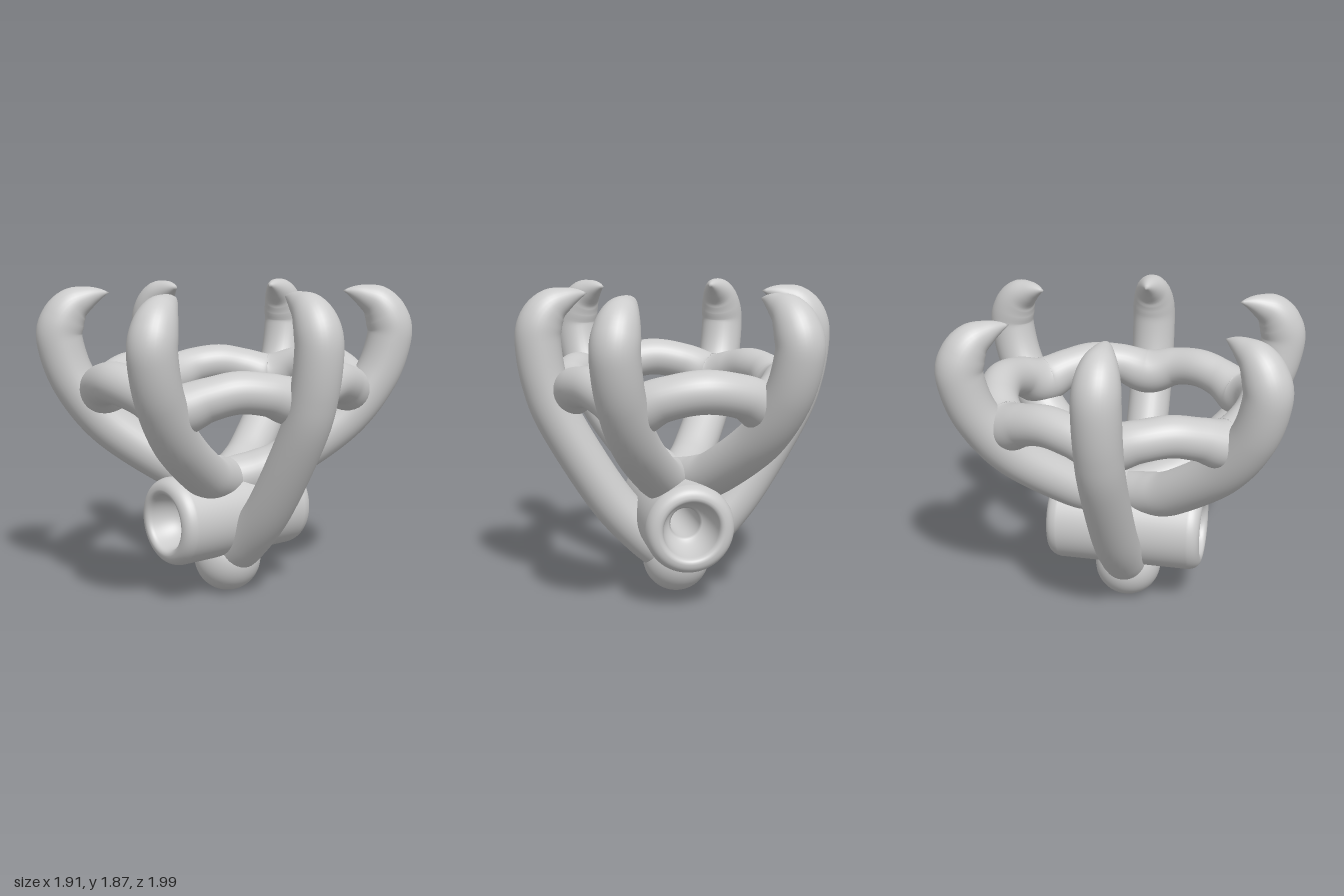
import * as THREE from 'three';
import { mergeVertices } from 'three/addons/utils/BufferGeometryUtils.js';

const material = new THREE.MeshStandardMaterial({ color: 0xcccccc });
const V = (x, y, z) => new THREE.Vector3(x, y, z);

// Tube through points [x, y, z, radius] with a changing radius
function taperedTube(points, segments, closed = false) {
  const path = new THREE.CatmullRomCurve3(points.map(p => V(p[0], p[1], p[2])), closed, 'catmullrom');
  const radii = new THREE.CatmullRomCurve3(points.map(p => V(p[3], 0, 0)), closed, 'catmullrom');
  const sides = 32;
  const geo = new THREE.TubeGeometry(path, segments, 1, sides, closed);
  const pos = geo.attributes.position;
  const v = V(0, 0, 0);
  for (let i = 0; i <= segments; i++) {
    const u = closed && i === segments ? 0 : i / segments;
    const centre = path.getPointAt(u);
    const r = Math.max(0, radii.getPoint(path.getUtoTmapping(u)).x);
    for (let j = 0; j <= sides; j++) {
      const k = i * (sides + 1) + j;
      v.fromBufferAttribute(pos, k).sub(centre).multiplyScalar(r).add(centre);
      pos.setXYZ(k, v.x, v.y, v.z);
    }
  }
  geo.deleteAttribute('uv');
  geo.deleteAttribute('normal');
  const merged = mergeVertices(geo, 1e-5);
  merged.computeVertexNormals();
  return merged;
}

export function createModel() {
  const group = new THREE.Group();
  const add = (name, geo) => {
    const mesh = new THREE.Mesh(geo, material);
    mesh.name = name;
    group.add(mesh);
    return mesh;
  };

  // Prongs: profiles are [distance from axis, height, radius], sharing one hooked tip
  const R = 0.135;
  const hook = [[0, 1.56, R], [-0.02, 1.68, 0.13], [-0.08, 1.765, 0.108],
    [-0.165, 1.81, 0.07], [-0.235, 1.832, 0.035], [-0.293, 1.84, 0]];
  const tip = reach => hook.map(([d, y, r]) => [reach + d, y, r]);
  const sideProfile = [[0, 0.2, R], [0.2, 0.365, R], [0.42, 0.62, R], [0.69, 1.07, R],
    [0.785, 1.32, R], ...tip(0.82)];
  const diagonalProfile = [[0, 0.7, R], [0.19, 0.745, R], [0.37, 0.82, R], [0.71, 1.06, R],
    [0.91, 1.32, R], ...tip(0.99)];
  const prong = (name, profile, angle) => add(name, taperedTube(
    profile.map(([d, y, r]) => [d * Math.cos(angle), y, d * Math.sin(angle), r]), 90));

  prong('leftProng', sideProfile, 0);
  prong('rightProng', sideProfile, Math.PI);
  const a = Math.PI / 3;
  prong('frontLeftProng', diagonalProfile, a);
  prong('frontRightProng', diagonalProfile, Math.PI - a);
  prong('backRightProng', diagonalProfile, Math.PI + a);
  prong('backLeftProng', diagonalProfile, -a);

  // Oval ring that arches up between the prongs and swells where it meets them
  const quarter = [[0.625, 1.265, 0, 0.14], [0.615, 1.315, 0.18, 0.12], [0.555, 1.335, 0.35, 0.118],
    [0.48, 1.3, 0.5, 0.122], [0.375, 1.245, 0.64, 0.145], [0.22, 1.32, 0.735, 0.122]];
  const crown = [0, 1.36, 0.775, 0.12];
  const mirrorX = ([x, y, z, r]) => [-x, y, z, r];
  const half = [...quarter, crown, ...quarter.slice(1).reverse().map(mirrorX)];
  const ring = [...half, ...half.map(([x, y, z, r]) => [-x, y, -z, r])];
  add('ring', taperedTube(ring, 240, true));

  // Hollow barrel with rounded rims and a funnel mouth at each end
  const outline = new THREE.Path();
  outline.moveTo(0.09, 0);
  outline.lineTo(0.09, 0.27);
  outline.quadraticCurveTo(0.15, 0.31, 0.165, 0.44);
  outline.quadraticCurveTo(0.17, 0.475, 0.2, 0.475);
  outline.quadraticCurveTo(0.255, 0.47, 0.265, 0.4);
  outline.lineTo(0.265, 0);
  const end = outline.getPoints(10);
  const other = end.slice(1, -1).reverse().map(p => new THREE.Vector2(p.x, -p.y));
  const profile = [...end, ...other, end[0].clone()].reverse();
  const barrel = add('barrel', new THREE.LatheGeometry(profile, 64));
  barrel.rotation.x = Math.PI / 2;
  barrel.position.y = 0.5;

  // Rounded foot
  const foot = add('foot', new THREE.SphereGeometry(0.205, 48, 32));
  foot.position.y = 0.205;

  return group;
}
